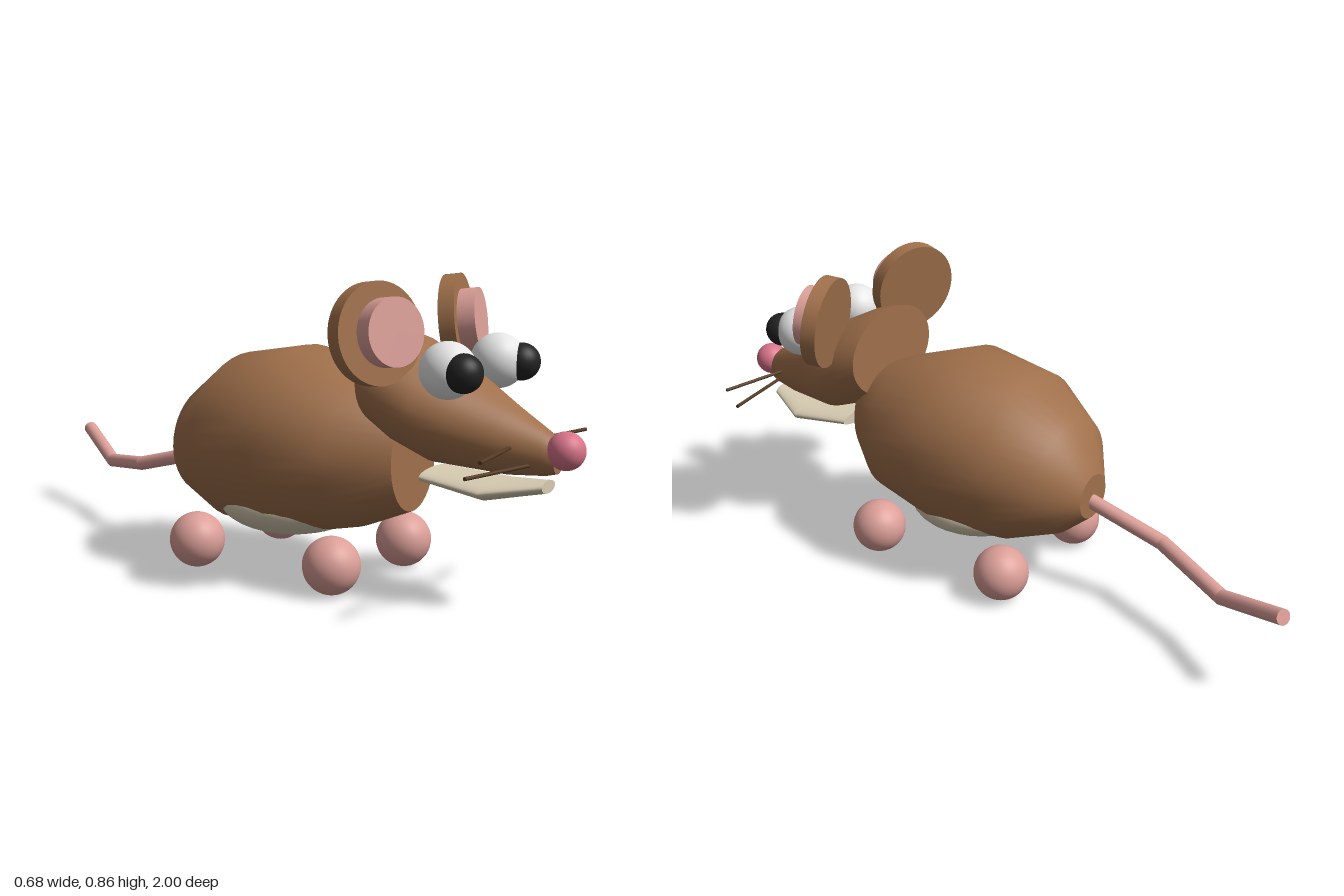
import * as THREE from 'three';

const mat = (name, color) => {
  const m = new THREE.MeshStandardMaterial({ color });
  m.name = name;
  return m;
};

// Smooth skin through elliptical sections [z, centreY, radiusX, radiusY], ordered back to front, with flat ends
function loft(sections, n = 40) {
  const pos = [], idx = [];
  const ring = ([z, cy, rx, ry]) => {
    for (let j = 0; j < n; j++) {
      const a = (j / n) * Math.PI * 2;
      pos.push(Math.cos(a) * rx, cy + Math.sin(a) * ry, z);
    }
  };
  sections.forEach(ring);
  for (let i = 0; i < sections.length - 1; i++) {
    for (let j = 0; j < n; j++) {
      const k = (j + 1) % n;
      const a = i * n + j, b = i * n + k, c = a + n, d = b + n;
      idx.push(a, b, c, b, d, c);
    }
  }
  // end caps have their own vertices so their edges stay sharp
  [sections[0], sections[sections.length - 1]].forEach((s, e) => {
    const start = pos.length / 3;
    ring(s);
    for (let j = 1; j < n - 1; j++) {
      if (e) idx.push(start, start + j, start + j + 1);
      else idx.push(start, start + j + 1, start + j);
    }
  });
  const g = new THREE.BufferGeometry();
  g.setAttribute('position', new THREE.Float32BufferAttribute(pos, 3));
  g.setIndex(idx);
  g.computeVertexNormals();
  return g;
}

export function createModel() {
  const model = new THREE.Group();
  model.name = 'mouse';

  const fur = mat('brown fur', 0xa0704b);
  const skin = mat('pink skin', 0xdc9f98);
  const nosePink = mat('nose pink', 0xd9748a);
  const cream = mat('cream', 0xd8ccb2);
  const white = mat('eye white', 0xe6e6e6);
  const black = mat('pupil black', 0x222222);
  const darkBrown = mat('whisker brown', 0x543a22);

  const add = (name, geometry, material, x = 0, y = 0, z = 0) => {
    const mesh = new THREE.Mesh(geometry, material);
    mesh.name = name;
    mesh.position.set(x, y, z);
    model.add(mesh);
    return mesh;
  };
  const ball = (name, r, material, x, y, z) =>
    add(name, new THREE.SphereGeometry(r, 32, 24), material, x, y, z);
  const rod = (name, a, b, r, material) => {
    const p = new THREE.Vector3(...a), q = new THREE.Vector3(...b);
    const d = q.clone().sub(p);
    const mesh = add(name, new THREE.CylinderGeometry(r, r, d.length(), 16), material);
    mesh.position.copy(p).add(q).multiplyScalar(0.5);
    mesh.quaternion.setFromUnitVectors(new THREE.Vector3(0, 1, 0), d.normalize());
  };

  // Body, belly patch, head and lower jaw
  add('body', loft([
    [-0.3, 0.30, 0.07, 0.066],
    [-0.225, 0.342, 0.18, 0.17],
    [-0.08, 0.368, 0.265, 0.25],
    [0.14, 0.382, 0.289, 0.274],
    [0.355, 0.37, 0.237, 0.212],
    [0.5, 0.37, 0.112, 0.15],
  ]), fur);
  ball('belly', 1, cream, 0, 0.2, 0.09).scale.set(0.222, 0.097, 0.22);
  add('head', loft([
    [0.43, 0.59, 0.185, 0.136],
    [0.5, 0.56, 0.2, 0.146],
    [0.6, 0.515, 0.187, 0.14],
    [0.68, 0.493, 0.152, 0.122],
    [0.8, 0.455, 0.095, 0.09],
    [0.9, 0.432, 0.05, 0.058],
    [0.93, 0.422, 0.03, 0.04],
  ]), fur);
  add('jaw', loft([
    [0.57, 0.338, 0.085, 0.02],
    [0.76, 0.322, 0.108, 0.026],
    [0.905, 0.346, 0.037, 0.017],
  ]), cream);
  ball('nose', 0.05, nosePink, 0, 0.444, 0.95);

  // Mirrored parts
  const disc = (name, r, h, material, x, y, z, s) => {
    const g = new THREE.CylinderGeometry(r, r, h, 48).rotateX(Math.PI / 2);
    const mesh = add(name, g, material, x, y, z);
    mesh.rotation.set(-0.12, s * 0.32, 0, 'YXZ');
  };
  for (const s of [1, -1]) {
    const side = s > 0 ? 'left' : 'right';
    disc(side + 'Ear', 0.135, 0.045, fur, s * 0.205, 0.728, 0.507, s);
    disc(side + 'InnerEar', 0.09, 0.05, skin, s * 0.207, 0.735, 0.555, s);
    ball(side + 'Eye', 0.075, white, s * 0.131, 0.64, 0.68);
    ball(side + 'Pupil', 0.051, black, s * 0.153, 0.639, 0.738);
    ball(side + 'FrontFoot', 0.081, skin, s * 0.181, 0.081, 0.357);
    ball(side + 'BackFoot', 0.081, skin, s * 0.199, 0.081, -0.115);
    rod(side + 'UpperWhisker', [s * 0.06, 0.45, 0.83], [s * 0.289, 0.45, 0.867], 0.005, darkBrown);
    rod(side + 'LowerWhisker', [s * 0.035, 0.405, 0.876], [s * 0.289, 0.405, 0.826], 0.005, darkBrown);
  }

  // Tail: straight pieces with rounded joints
  const tail = [[0, 0.29, -0.27], [0, 0.222, -0.53], [0.108, 0.184, -0.77], [0.214, 0.258, -0.988]];
  for (let i = 0; i < 3; i++) {
    rod('tailSegment', tail[i], tail[i + 1], 0.022, skin);
    if (i) ball('tailJoint', 0.022, skin, ...tail[i]);
  }
  return model;
}
